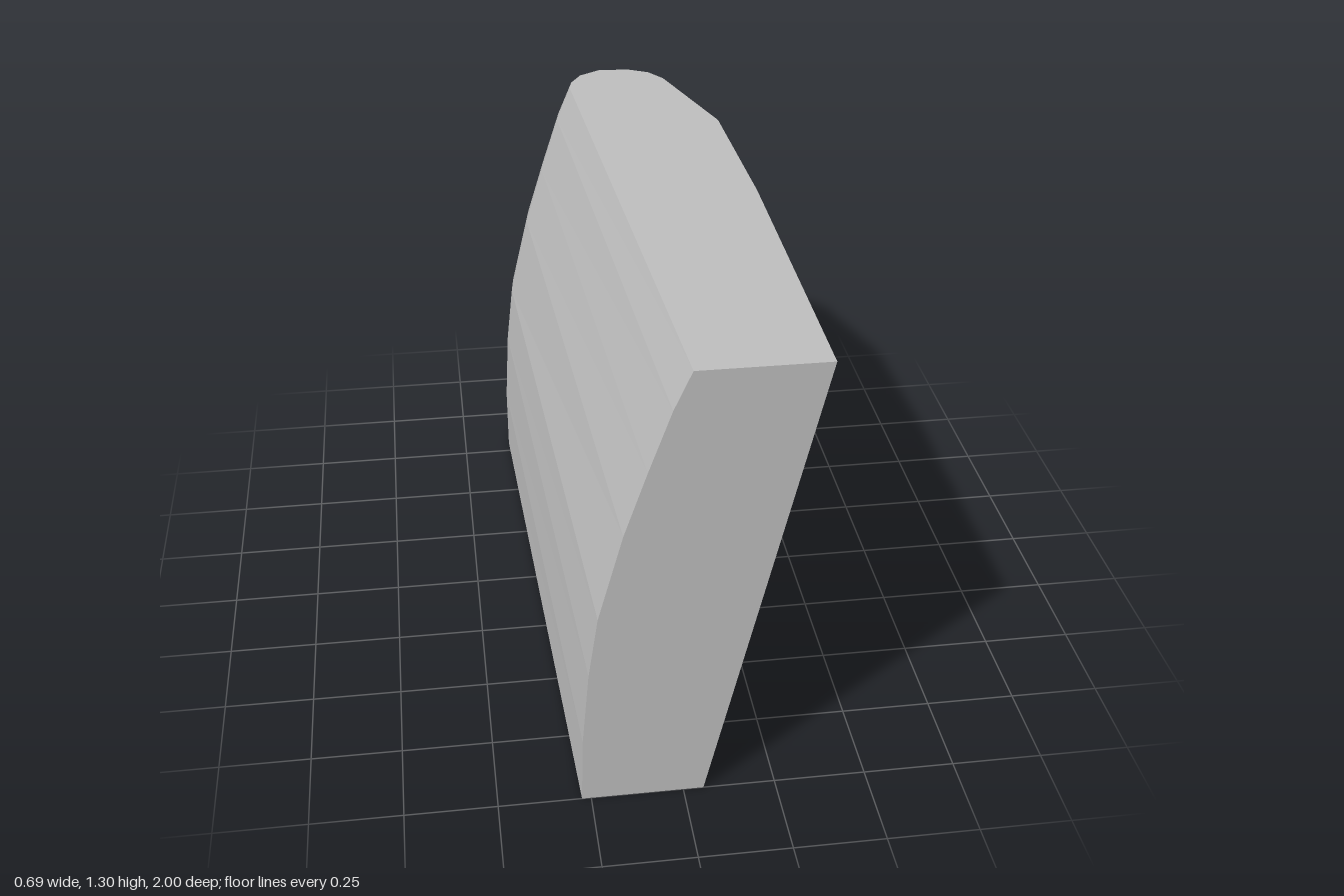
import * as THREE from 'three';

export function createModel() {
  const grey = new THREE.MeshStandardMaterial({ color: 0xc0c0c0 });
  grey.name = 'plain grey';

  // Outline around the block: bottom x, z; top x, z; share of the left-side bulge
  const outline = [
    [0.055, 1, 0.345, 1, 0],
    [0.066, 0.1, 0.345, 0.02, 0],
    [0.055, -0.43, 0.326, -0.51, 0],
    [-0.06, -0.85, 0.21, -0.89, 0],
    [-0.1, -0.925, 0.17, -0.95, 0.1],
    [-0.165, -0.968, 0.105, -0.985, 0.35],
    [-0.245, -0.975, 0.01, -0.99, 0.7],
    [-0.3, -0.94, -0.055, -0.95, 0.9],
    [-0.336, -0.88, -0.09, -0.89, 1],
    [-0.347, -0.8, -0.1, -0.84, 1],
    [-0.275, 1, 0.005, 1, 1],
  ];
  // Height and outward bulge of the curved left side
  const levels = [[0, 0], [0.2, 0.038], [0.42, 0.067], [0.6, 0.08],
    [0.85, 0.068], [1.03, 0.047], [1.2, 0.024], [1.305, 0]];

  const rings = levels.map(([y, bulge]) => outline.map(([bx, bz, tx, tz, w], j) => {
    const t = y / 1.305;
    const back = j > 3 && j < 9 ? 0.2 * bulge : 0;
    return [THREE.MathUtils.lerp(bx, tx, t) - bulge * w, y,
      THREE.MathUtils.lerp(bz, tz, t) - back];
  }));

  const positions = [];
  const triangle = (...corners) => corners.forEach((c) => positions.push(...c));
  const n = outline.length;

  // Side walls and rounded back edge
  for (let i = 0; i < rings.length - 1; i++) {
    for (let j = 0; j < n; j++) {
      const k = (j + 1) % n;
      const lower = rings[i], upper = rings[i + 1];
      triangle(lower[j], lower[k], upper[k]);
      triangle(lower[j], upper[k], upper[j]);
    }
  }
  // Flat top and bottom
  const bottom = rings[0], top = rings[rings.length - 1];
  for (let j = 1; j < n - 1; j++) {
    triangle(top[0], top[j], top[j + 1]);
    triangle(bottom[0], bottom[j + 1], bottom[j]);
  }

  const geometry = new THREE.BufferGeometry();
  geometry.setAttribute('position', new THREE.Float32BufferAttribute(positions, 3));
  geometry.computeVertexNormals();

  const body = new THREE.Mesh(geometry, grey);
  body.name = 'curvedBlock';
  const model = new THREE.Group();
  model.name = 'leaningCurvedBlock';
  model.add(body);
  return model;
}
